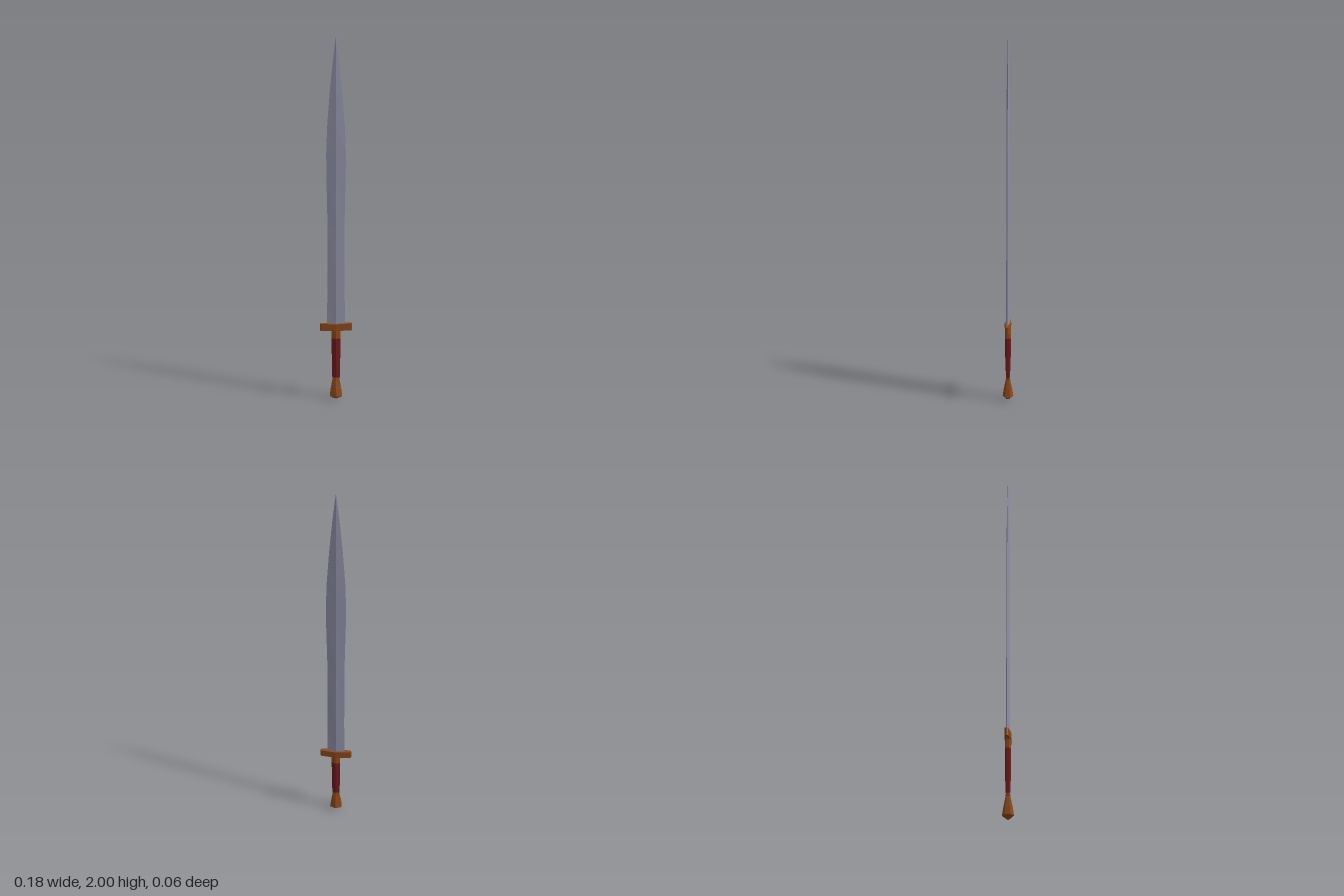
import * as THREE from 'three';

// Unit plan outlines (x, z); each level scales them to its half width and half depth
const DIAMOND = [[1, 0], [0, 1], [-1, 0], [0, -1]];
const HEX = [[1, 0.5], [0, 1], [-1, 0.5], [-1, -0.5], [0, -1], [1, -0.5]];
const GUARD = [[1, 0], [0.94, 0.5], [0, 1], [-0.94, 0.5], [-1, 0], [-0.94, -0.5], [0, -1], [0.94, -0.5]];

// Skin an outline through levels [y, halfWidth, halfDepth], bottom to top, closing both ends
function loft(name, material, outline, levels) {
  const pos = [];
  const n = outline.length;
  const rings = levels.map(([y, w, d]) => outline.map(([x, z]) => [x * w, y, z * d]));
  const tri = (a, b, c) => pos.push(...a, ...b, ...c);
  const low = levels[0], top = levels[levels.length - 1];
  for (let i = 0; i < n; i++) {
    // Outlines run from +x towards +z, so walls are wound low-high-next
    const j = (i + 1) % n;
    for (let k = 0; k < rings.length - 1; k++) {
      const a = rings[k], b = rings[k + 1];
      if (levels[k][1] > 0) tri(a[i], b[j], a[j]);
      if (levels[k + 1][1] > 0) tri(a[i], b[i], b[j]);
    }
    if (low[1] > 0) tri([0, low[0], 0], rings[0][i], rings[0][j]);
    if (top[1] > 0) tri([0, top[0], 0], rings[rings.length - 1][j], rings[rings.length - 1][i]);
  }
  const geometry = new THREE.BufferGeometry();
  geometry.setAttribute('position', new THREE.Float32BufferAttribute(pos, 3));
  geometry.computeVertexNormals();
  const mesh = new THREE.Mesh(geometry, material);
  mesh.name = name;
  return mesh;
}

export function createModel() {
  const paint = (name, color) => {
    const m = new THREE.MeshStandardMaterial({ color });
    m.name = name;
    return m;
  };
  const steel = paint('steel', 0x8d8ea4);
  const bronze = paint('bronze', 0x8c481a);
  const leather = paint('redLeather', 0x701a1e);

  const sword = new THREE.Group();
  sword.name = 'sword';
  sword.add(
    // Leaf-shaped blade with a central ridge
    loft('blade', steel, DIAMOND, [
      [0.44, 0.051, 0.01], [0.63, 0.047, 0.01], [1.0, 0.046, 0.009], [1.3, 0.052, 0.009],
      [1.4, 0.052, 0.009], [1.53, 0.047, 0.009], [1.7, 0.034, 0.007], [1.85, 0.019, 0.004],
      [1.96, 0.006, 0.002], [2, 0, 0],
    ]),
    // Crossguard, thickest at the middle
    loft('guard', bronze, GUARD, [[0.406, 0.09, 0.018], [0.445, 0.09, 0.018]]),
    loft('collar', bronze, HEX, [[0.36, 0.024, 0.016], [0.406, 0.024, 0.016]]),
    loft('grip', leather, HEX, [
      [0.13, 0.021, 0.011], [0.22, 0.023, 0.015], [0.3, 0.024, 0.016], [0.36, 0.024, 0.016],
    ]),
    // Flared pommel with a blunt end
    loft('pommel', bronze, HEX, [
      [0, 0, 0], [0.01, 0.02, 0.016], [0.022, 0.034, 0.03], [0.06, 0.029, 0.024],
      [0.115, 0.02, 0.013], [0.13, 0.021, 0.011],
    ]),
  );
  return sword;
}
